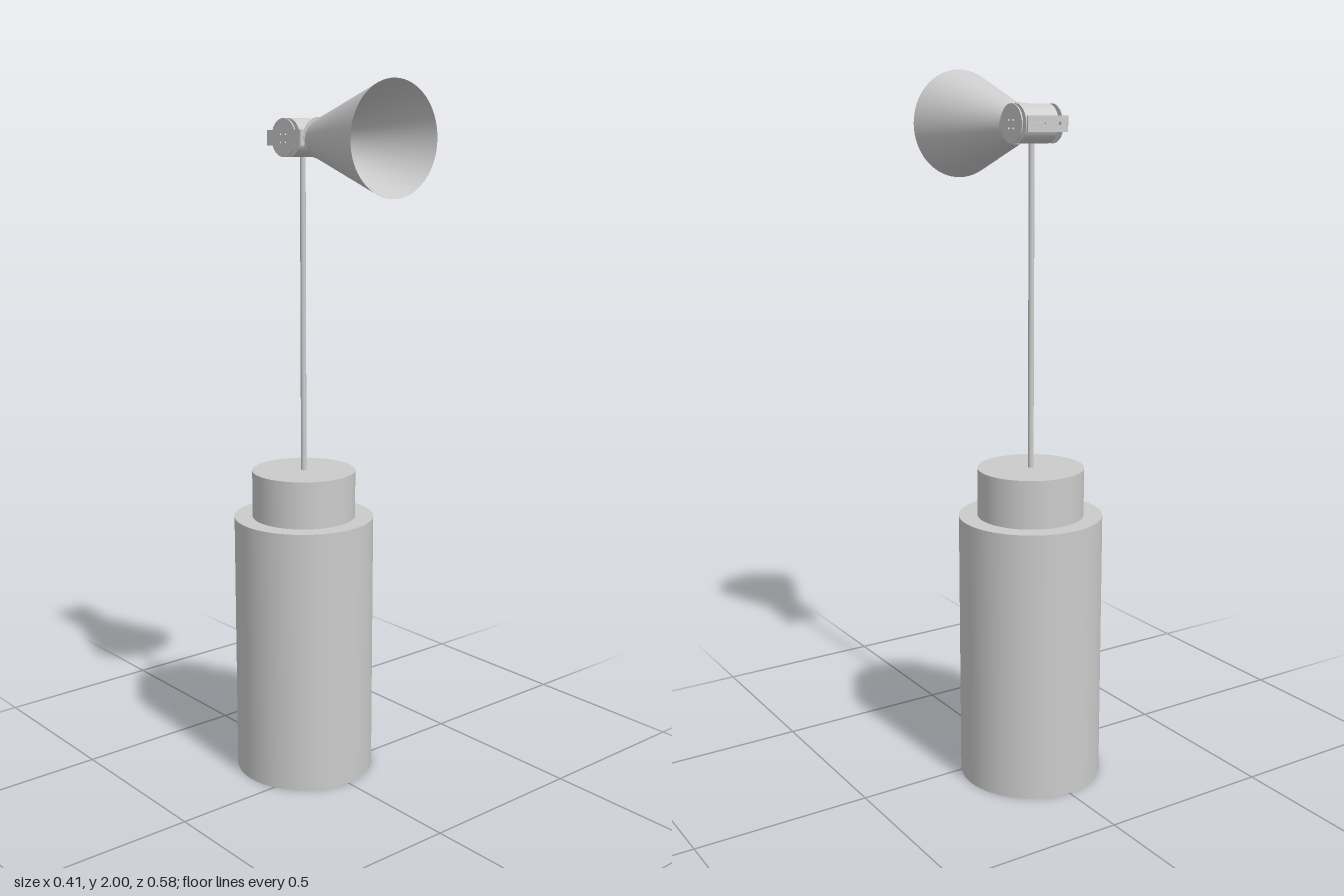
import * as THREE from 'three';

const AXIS_Z = -0.086; // column axis
const HEAD_Y = 1.853; // lamp head height
const DISC_R = 0.052;
const STRIP = 0.021; // half height of the bracket strip
const SHEET = 0.004; // sheet metal thickness

export function createModel() {
  const group = new THREE.Group();
  const mat = new THREE.MeshStandardMaterial({ color: 0xcccccc });
  const open = new THREE.MeshStandardMaterial({ color: 0xcccccc, side: THREE.DoubleSide });

  function add(name, geometry, x, y, z, material = mat) {
    const mesh = new THREE.Mesh(geometry, material);
    mesh.name = name;
    mesh.position.set(x, y, z);
    group.add(mesh);
    return mesh;
  }
  const column = (name, r, y0, y1, sides = 64) =>
    add(name, new THREE.CylinderGeometry(r, r, y1 - y0, sides), 0, (y0 + y1) / 2, AXIS_Z);
  const extrude = (shape, depth = SHEET) =>
    new THREE.ExtrudeGeometry(shape, { depth, bevelEnabled: false, curveSegments: 32 });
  const hole = (x, y, r) => new THREE.Path().absarc(x, y, r, 0, Math.PI * 2, true);

  // Four small screw holes around the pivot
  function addScrewHoles(shape) {
    for (const x of [-0.011, 0.011])
      for (const y of [-0.011, 0.011]) shape.holes.push(hole(x, y, 0.004));
    return shape;
  }

  // Base, collar and stem
  column('base', 0.203, 0, 0.775);
  column('collar', 0.15, 0.775, 0.912);
  column('stem', 0.008, 0.912, HEAD_Y - 0.045, 20);

  // Pivot drum lying across the stem
  const drum = new THREE.CylinderGeometry(DISC_R, DISC_R, 0.103, 48).rotateZ(Math.PI / 2);
  add('pivotDrum', drum, 0, HEAD_Y, AXIS_Z);

  // Separate end disc on the left
  const disc = addScrewHoles(new THREE.Shape().absarc(0, 0, DISC_R, 0, Math.PI * 2));
  add('endDisc', extrude(disc).rotateY(Math.PI / 2), 0.061, HEAD_Y, AXIS_Z);

  // Bracket side: a strip widening into a disc around the pivot
  const a = Math.asin(STRIP / DISC_R);
  const side = new THREE.Shape();
  side.moveTo(0.07, -STRIP);
  side.lineTo(0.07, STRIP);
  side.absarc(0, 0, DISC_R, a, Math.PI - a, false);
  side.lineTo(-0.07, STRIP);
  side.lineTo(-0.07, -STRIP);
  side.absarc(0, 0, DISC_R, Math.PI + a, Math.PI * 2 - a, false);
  addScrewHoles(side);
  add('bracketSide', extrude(side).rotateY(Math.PI / 2), -0.065, HEAD_Y, -0.09);

  // Rounded bends joining the side to the front and back strips
  for (const dir of [1, -1]) {
    const bend = new THREE.Shape();
    bend.absarc(0, 0, 0.006, Math.PI / 2, Math.PI, false);
    bend.absarc(0, 0, 0.006 - SHEET, Math.PI, Math.PI / 2, true);
    const geo = extrude(bend, STRIP * 2).translate(0, 0, -STRIP).rotateX(dir * Math.PI / 2);
    add('bracketBend', geo, -0.059, HEAD_Y, -0.09 + dir * 0.07);
  }

  // Back strip with two slots
  const back = new THREE.Shape();
  back.moveTo(-0.059, -STRIP);
  back.lineTo(0.065, -STRIP);
  back.lineTo(0.065, STRIP);
  back.lineTo(-0.059, STRIP);
  back.closePath();
  for (const x of [-0.025, 0.025]) {
    const slot = new THREE.Path();
    slot.absarc(x - 0.012, 0, 0.004, Math.PI * 1.5, Math.PI / 2, true);
    slot.absarc(x + 0.012, 0, 0.004, Math.PI / 2, -Math.PI / 2, true);
    slot.closePath();
    back.holes.push(slot);
  }
  add('bracketBack', extrude(back), 0, HEAD_Y, -0.166);

  // Front strip and the round flange that carries the shade
  add('bracketFront', new THREE.BoxGeometry(0.03, STRIP * 2, SHEET), -0.044, HEAD_Y, -0.016);
  const flange = new THREE.Shape().absarc(0, 0, 0.055, 0, Math.PI * 2);
  for (let i = 0; i < 3; i++) {
    const mid = Math.PI / 2 + (i * Math.PI * 2) / 3;
    const slot = new THREE.Path();
    slot.absarc(0, 0, 0.046, mid - 0.3, mid + 0.3, false);
    slot.absarc(0, 0, 0.039, mid + 0.3, mid - 0.3, true);
    slot.closePath();
    flange.holes.push(slot);
  }
  add('shadeFlange', extrude(flange, 0.005), 0, HEAD_Y, -0.018);

  // Open conical shade facing forward
  const profile = [[0.053, -0.013], [0.053, -0.008], [0.151, 0.287]];
  const shade = new THREE.LatheGeometry(profile.map(([r, z]) => new THREE.Vector2(r, z)).slice(1), 64);
  add('shade', shade.rotateX(Math.PI / 2), 0, 1.85, 0, open);
  const neck = new THREE.LatheGeometry(profile.map(([r, z]) => new THREE.Vector2(r, z)).slice(0, 2), 64);
  add('shadeNeck', neck.rotateX(Math.PI / 2), 0, 1.85, 0, open);

  return group;
}
